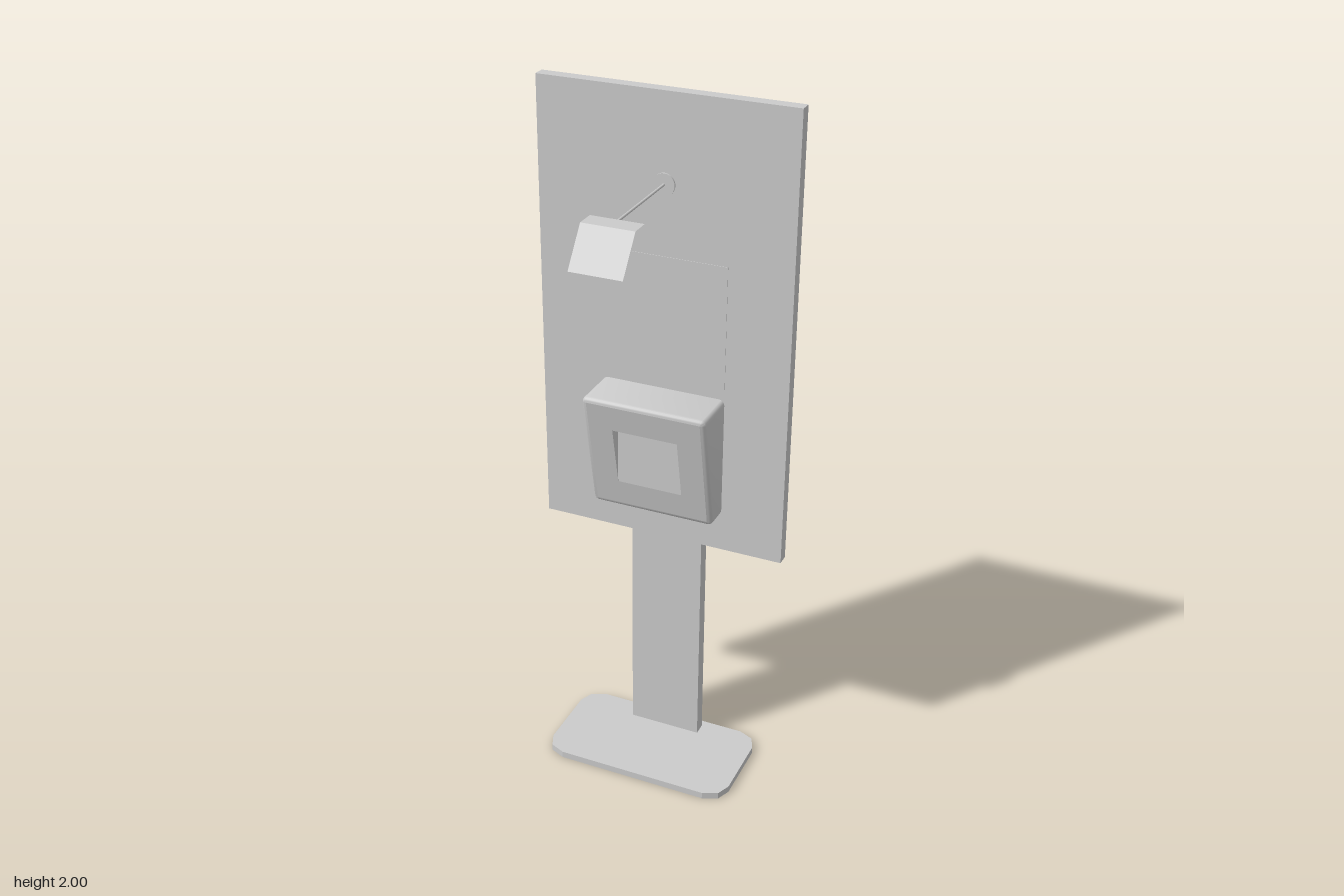
import * as THREE from 'three';
import { toCreasedNormals } from 'three/addons/utils/BufferGeometryUtils.js';

const grey = new THREE.MeshStandardMaterial({ color: 0xcccccc });
const thin = new THREE.MeshStandardMaterial({ color: 0xcccccc, side: THREE.DoubleSide });

function add(group, name, geometry, material = grey) {
  const mesh = new THREE.Mesh(geometry, material);
  mesh.name = name;
  group.add(mesh);
  return mesh;
}

// Box given by its limits on each axis
function block(group, name, [x0, x1], [y0, y1], [z0, z1]) {
  const mesh = add(group, name, new THREE.BoxGeometry(x1 - x0, y1 - y0, z1 - z0));
  mesh.position.set((x0 + x1) / 2, (y0 + y1) / 2, (z0 + z1) / 2);
  return mesh;
}

function surface(points, index) {
  const g = new THREE.BufferGeometry();
  g.setAttribute('position', new THREE.Float32BufferAttribute(points.flat(), 3));
  g.setIndex(index);
  return toCreasedNormals(g, 0.6);
}

// Rounded rectangle outline, counter-clockwise, shrunk by inset
function outline(w, h, cy, r, inset) {
  const pts = [];
  [[1, 1], [-1, 1], [-1, -1], [1, -1]].forEach(([sx, sy], q) => {
    for (let k = 0; k <= 4; k++) {
      const a = (q + k / 4) * Math.PI / 2;
      pts.push(new THREE.Vector2(
        sx * (w - r) + (r - inset) * Math.cos(a),
        cy + sy * (h - r) + (r - inset) * Math.sin(a)));
    }
  });
  return pts;
}

// Wedge-shaped housing with rounded front edges and a square opening
function housing() {
  const group = new THREE.Group();
  group.name = 'housing';
  const back = -0.158, r = 0.014, cr = 0.016;
  const front = y => -0.09 + (y - 0.83) * 0.205;
  const w = 0.178, h = 0.178, cy = 1.008;

  // Side shell, in loops from the back to the rounded front edge
  const pts = [], index = [];
  const loops = [[0, null]];
  for (let k = 0; k <= 4; k++) {
    const a = k / 4 * Math.PI / 2;
    loops.push([r * (1 - Math.cos(a)), r * (1 - Math.sin(a))]);
  }
  loops.forEach(([inset, depth]) => outline(w, h, cy, cr, inset).forEach(p =>
    pts.push([p.x, p.y, depth === null ? back : front(p.y) - depth])));
  const n = pts.length / loops.length;
  for (let i = 0; i < loops.length - 1; i++) {
    for (let j = 0; j < n; j++) {
      const a = i * n + j, b = i * n + (j + 1) % n;
      index.push(a, b, b + n, a, b + n, a + n);
    }
  }
  add(group, 'housingShell', surface(pts, index));

  // Sloping front face with the opening
  const o = 0.094, y0 = 0.92, y1 = 1.095;
  const shape = new THREE.Shape(outline(w, h, cy, cr, r));
  shape.holes.push(new THREE.Path([[-o, y0], [-o, y1], [o, y1], [o, y0]].map(p => new THREE.Vector2(...p))));
  const face = new THREE.ShapeGeometry(shape);
  const pos = face.attributes.position;
  for (let i = 0; i < pos.count; i++) pos.setZ(i, front(pos.getY(i)));
  face.computeVertexNormals();
  add(group, 'housingFront', face);

  // Recess with an upright back that meets the lower edge of the opening
  const zb = front(y0), zt = front(y1);
  add(group, 'recess', surface(
    [[-o, y0, zb], [o, y0, zb], [o, y1, zt], [-o, y1, zt], [o, y1, zb], [-o, y1, zb]],
    [0, 1, 4, 0, 4, 5, 1, 2, 4, 0, 5, 3, 3, 5, 4, 3, 4, 2]), thin);
  return group;
}

// Lamp on a thin arm with a folded sheet shade
function lamp() {
  const group = new THREE.Group();
  group.name = 'lamp';
  const plate = add(group, 'wallPlate', new THREE.CylinderGeometry(0.03, 0.03, 0.006, 24));
  plate.rotation.x = Math.PI / 2;
  plate.position.set(0, 1.76, -0.156);

  const arm = add(group, 'arm', new THREE.CylinderGeometry(0.0035, 0.0035, 0.3, 10));
  arm.rotation.x = Math.PI / 2;
  arm.position.set(0, 1.76, -0.01);

  const fold = [[1.765, 0.125], [1.765, 0.178], [1.667, 0.25], [1.567, 0.25]];
  const pts = fold.flatMap(([y, z]) => [[-0.072, y, z], [0.072, y, z]]);
  const index = [0, 2, 4].flatMap(i => [i, i + 2, i + 3, i, i + 3, i + 1]);
  add(group, 'shade', surface(pts, index), thin);

  // Tapered light body under the shade
  const side = new THREE.Shape([[-0.232, 1.69], [-0.249, 1.668], [-0.225, 1.616], [-0.167, 1.695]]
    .map(p => new THREE.Vector2(...p)));
  const body = add(group, 'lightBody', new THREE.ExtrudeGeometry(side, { depth: 0.06, bevelEnabled: false }));
  body.rotation.y = Math.PI / 2;
  body.position.x = -0.03;
  return group;
}

export function createModel() {
  const model = new THREE.Group();
  model.name = 'displayStand';

  // Foot plate with clipped corners
  const corner = [[0.285, 0.096], [0.268, 0.136], [0.225, 0.154]];
  const flip = (sx, sy) => corner.map(([x, y]) => new THREE.Vector2(sx * x, sy * y));
  const foot = new THREE.Shape([
    ...flip(1, 1), ...flip(-1, 1).reverse(), ...flip(-1, -1), ...flip(1, -1).reverse()]);
  const base = add(model, 'base', new THREE.ExtrudeGeometry(foot, { depth: 0.02, bevelEnabled: false }));
  base.rotation.x = -Math.PI / 2;
  base.position.z = -0.099;

  block(model, 'post', [-0.107, 0.107], [0.015, 0.785], [-0.231, -0.193]);
  block(model, 'backPanel', [-0.357, 0.357], [0.72, 2], [-0.193, -0.158]);
  block(model, 'poster', [-0.178, 0.178], [1.205, 1.565], [-0.16, -0.1565]);
  model.add(housing(), lamp());
  return model;
}
